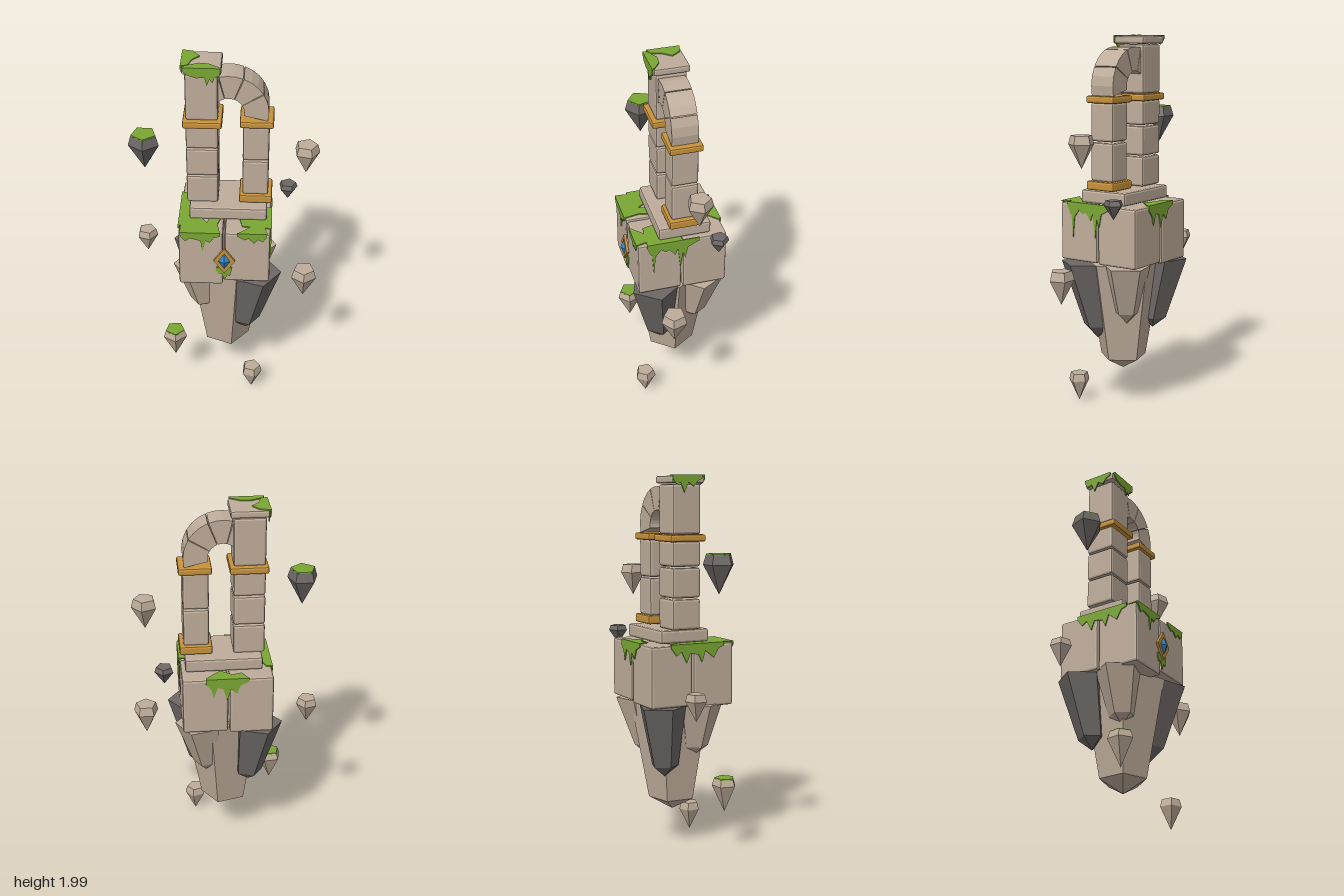
import * as THREE from 'three';
import { RoundedBoxGeometry } from 'three/addons/geometries/RoundedBoxGeometry.js';
import { ConvexGeometry } from 'three/addons/geometries/ConvexGeometry.js';

const mat = (name, color) => Object.assign(new THREE.MeshStandardMaterial({ color }), { name });

export function createModel() {
  const model = new THREE.Group();
  model.name = 'floatingRuin';
  const stone = mat('sandstone', 0xbfad9b);
  const dark = mat('dark rock', 0x6d6866);
  const grass = mat('grass green', 0x7aa733);
  const gold = mat('gold', 0xc8923a);
  const blue = mat('crystal blue', 0x2f86c6);

  function add(name, geometry, material, parent = model) {
    const g = geometry.index ? geometry.toNonIndexed() : geometry;
    g.computeVertexNormals(); // faceted look
    const mesh = new THREE.Mesh(g, material);
    mesh.name = name;
    parent.add(mesh);
    return mesh;
  }

  // Bevelled block given by its extents
  function block(name, [x0, x1], [y0, y1], [z0, z1], material = stone, bevel = 0.012) {
    const g = new RoundedBoxGeometry(x1 - x0, y1 - y0, z1 - z0, 1, bevel);
    g.translate((x0 + x1) / 2, (y0 + y1) / 2, (z0 + z1) / 2);
    return add(name, g, material);
  }

  // Five-sided horizontal ring of points
  function ring(x, y, z, r, degrees) {
    return Array.from({ length: 5 }, (_, i) => {
      const a = THREE.MathUtils.degToRad(degrees + i * 72);
      return new THREE.Vector3(x + r * Math.cos(a), y, z + r * Math.sin(a));
    });
  }

  function plate(points, depth = 0.006) {
    const shape = new THREE.Shape(points.map(([x, y]) => new THREE.Vector2(x, y)));
    return new THREE.ExtrudeGeometry(shape, { depth, bevelEnabled: false });
  }

  // Four foundation blocks
  block('foundationFrontLeft', [0.006, 0.243], [0.815, 1.125], [0.004, 0.238]);
  block('foundationFrontRight', [-0.235, -0.003], [0.79, 1.125], [0.004, 0.24]);
  block('foundationBackLeft', [0.004, 0.243], [0.81, 1.125], [-0.242, -0.004]);
  block('foundationBackRight', [-0.235, -0.004], [0.8, 1.125], [-0.242, -0.004]);
  block('plinth', [-0.185, 0.222], [1.13, 1.2], [-0.16, 0.12]);

  // Tall pillar
  const px = [-0.2, -0.035], pz = [-0.1, 0.062];
  [[1.2, 1.36], [1.366, 1.523], [1.529, 1.66], [1.695, 1.952]].forEach(y => block('tallPillarBlock', px, y, pz));
  block('tallPillarBand', [-0.215, -0.015], [1.657, 1.695], [-0.12, 0.085], gold, 0.01);
  block('tallPillarCap', [-0.213, -0.018], [1.956, 1.994], [-0.112, 0.075], stone, 0.01);

  // Short pillar
  const sx = [0.09, 0.225], sz = [-0.088, 0.053];
  [[1.25, 1.453], [1.459, 1.66]].forEach(y => block('shortPillarBlock', sx, y, sz));
  [[1.205, 1.252], [1.657, 1.695]].forEach(y => block('shortPillarBand', [0.074, 0.246], y, [-0.106, 0.068], gold, 0.01));

  // Arch stones
  for (const [from, to] of [[-13, 30], [31.5, 68], [69.5, 104], [105.5, 130]]) {
    const points = [];
    for (const [r, a0, a1] of [[0.202, from, to], [0.078, to, from]])
      for (let i = 0; i <= 3; i++) {
        const a = THREE.MathUtils.degToRad(a0 + (a1 - a0) * i / 3);
        points.push([0.018 + r * Math.cos(a), 1.74 + r * Math.sin(a)]);
      }
    add('archStone', plate(points, 0.137).translate(0, 0, -0.086), stone);
  }

  // Hanging rock: tapered shards with pointed ends
  function shard(name, top, topR, low, lowR, tipY, degrees, material) {
    add(name, new ConvexGeometry([
      ...ring(top[0], 0.8, top[1], topR, degrees),
      ...ring(low[0], low[1], low[2], lowR, degrees),
      new THREE.Vector3(low[0], tipY, low[2]),
    ]), material);
  }
  shard('coreRock', [0.01, 0], 0.225, [0.005, 0.26, 0], 0.128, 0.19, 3, stone);
  shard('frontLeftShard', [0.17, 0.13], 0.137, [0.115, 0.445, 0.09], 0.08, 0.37, 0, dark);
  shard('backRightShard', [-0.165, -0.15], 0.13, [-0.12, 0.47, -0.11], 0.075, 0.41, 36, dark);
  shard('frontRightShard', [-0.155, 0.08], 0.125, [-0.12, 0.56, 0.075], 0.07, 0.51, 36, stone);
  shard('backLeftShard', [0.15, -0.125], 0.13, [0.115, 0.54, -0.1], 0.068, 0.48, 5, stone);

  // Floating gem-shaped rocks: x, z, top, widest, tip, radius, turn
  [
    [-0.415, 0.05, 1.6, 1.55, 1.4, 0.083, 18, dark, true],
    [0.42, -0.035, 1.51, 1.465, 1.34, 0.069, -4, stone],
    [0.43, 0.095, 0.8, 0.752, 0.62, 0.07, 18, stone],
    [0.332, -0.17, 1.18, 1.155, 1.08, 0.052, -80, dark],
    [-0.437, -0.09, 0.905, 0.868, 0.76, 0.058, 0, stone],
    [-0.275, 0.17, 0.4, 0.365, 0.22, 0.068, -60, stone, true],
    [0.157, 0.19, 0.165, 0.125, 0.008, 0.058, 0, stone],
  ].forEach(([x, z, top, mid, tip, r, turn, material, mossy]) => {
    const group = new THREE.Group();
    group.name = 'floatingRock';
    model.add(group);
    add('rock', new ConvexGeometry([
      ...ring(x, top, z, r * 0.82, turn), ...ring(x, mid, z, r, turn), new THREE.Vector3(x, tip, z),
    ]), material, group);
    if (mossy) add('rockGrass', new ConvexGeometry([
      ...ring(x, top, z, r * 0.81, turn), ...ring(x, top + 0.006, z, r * 0.8, turn),
    ]), grass, group);
  });

  // Flat grass sheet from x, z points
  function sheet(name, y, points) {
    add(name, plate(points.map(([x, z]) => [x, -z])).rotateX(-Math.PI / 2).translate(0, y, 0), grass);
  }
  // Dripping grass edge: [along, drop] points, turned to face a side and set at its distance
  function drips(name, y, turn, distance, points) {
    const outline = [[points[0][0], 0], ...points.map(([u, d]) => [u, -d]), [points.at(-1)[0], 0]];
    add(name, plate(outline).translate(0, y, distance).rotateY(turn), grass);
  }
  const Q = Math.PI / 2;

  sheet('foundationGrassRight', 1.126, [[-0.242, -0.13], [-0.205, -0.12], [-0.17, -0.02], [-0.15, 0.07],
    [-0.09, 0.15], [-0.08, 0.11], [-0.02, 0.11], [-0.035, 0.16], [-0.018, 0.246], [-0.23, 0.246], [-0.225, 0.18], [-0.242, 0.18]]);
  sheet('foundationGrassLeft', 1.126, [[0.08, 0.11], [0.2, 0.11], [0.215, 0], [0.249, 0], [0.249, 0.19],
    [0.215, 0.185], [0.23, 0.244], [0.07, 0.244], [0.14, 0.18], [0.095, 0.175]]);
  sheet('foundationGrassBack', 1.126, [[-0.105, -0.248], [0.12, -0.248], [0.12, -0.23], [0.04, -0.155],
    [-0.02, -0.2], [-0.07, -0.185]]);
  drips('frontDripsRight', 1.132, 0, 0.24, [[-0.23, 0.015], [-0.2, 0.055], [-0.175, 0.035], [-0.14, 0.045],
    [-0.12, 0.05], [-0.108, 0.12], [-0.095, 0.05], [-0.07, 0.06], [-0.05, 0.03], [-0.018, 0.02]]);
  drips('frontDripsLeft', 1.132, 0, 0.238, [[0.07, 0.015], [0.11, 0.04], [0.13, 0.03], [0.16, 0.06],
    [0.18, 0.035], [0.205, 0.05], [0.225, 0.02]]);
  drips('leftDrips', 1.132, Q, 0.243, [[-0.19, 0.02], [-0.175, 0.06], [-0.163, 0.07], [-0.155, 0.19], [-0.145, 0.08],
    [-0.115, 0.04], [-0.09, 0.06], [-0.07, 0.05], [-0.04, 0.09], [-0.025, 0.05], [-0.01, 0.18], [0.002, 0.08],
    [0.015, 0.12], [0.03, 0.05], [0.09, 0.02]]);
  drips('rightDrips', 1.132, -Q, 0.236, [[-0.13, 0.02], [-0.1, 0.06], [-0.07, 0.04], [-0.04, 0.1], [-0.02, 0.05],
    [0.03, 0.06], [0.05, 0.1], [0.07, 0.04], [0.12, 0.08], [0.15, 0.03], [0.18, 0.02]]);
  drips('backDrips', 1.132, Math.PI, 0.242, [[-0.12, 0.03], [-0.095, 0.06], [-0.08, 0.11], [-0.06, 0.05], [-0.03, 0.06],
    [-0.01, 0.13], [0.01, 0.06], [0.04, 0.09], [0.06, 0.04], [0.105, 0.02]]);
  drips('crystalMoss', 0.91, 0, 0.24, [[-0.038, 0.02], [-0.025, 0.045], [-0.01, 0.04], [0.006, 0.085],
    [0.02, 0.05], [0.035, 0.055], [0.045, 0.01]]);

  // Grass on the tall pillar cap
  sheet('capGrassRight', 1.994, [[-0.217, -0.112], [-0.165, -0.1], [-0.13, -0.05], [-0.165, -0.01], [-0.185, 0.05], [-0.217, 0.06]]);
  sheet('capGrassFront', 1.994, [[-0.205, 0.081], [-0.2, 0.06], [-0.13, 0.025], [-0.08, 0.032], [-0.025, 0.07], [-0.025, 0.081]]);
  drips('capFrontDrips', 2, 0, 0.077, [[-0.205, 0.02], [-0.185, 0.04], [-0.14, 0.055], [-0.1, 0.05], [-0.088, 0.095],
    [-0.075, 0.06], [-0.06, 0.08], [-0.05, 0.05], [-0.025, 0.04]]);
  drips('capRightDrips', 2, -Q, 0.214, [[-0.112, 0.02], [-0.09, 0.05], [-0.065, 0.04], [-0.045, 0.09], [-0.02, 0.04],
    [0.01, 0.06], [0.035, 0.03], [0.06, 0.02]]);

  // Diamond ornament: gold frame and faceted crystal
  const diamond = (w, h) => [[-w, 0], [0, -h], [w, 0], [0, h]];
  add('crystalFrame', plate(diamond(0.056, 0.08), 0.014).translate(0.005, 0.96, 0.243), gold);
  const gem = diamond(0.035, 0.055).map(([x, y]) => new THREE.Vector3(x + 0.005, y + 0.96, 0.255));
  add('crystal', new ConvexGeometry([...gem, new THREE.Vector3(0.005, 0.96, 0.276)]), blue);

  return model;
}
